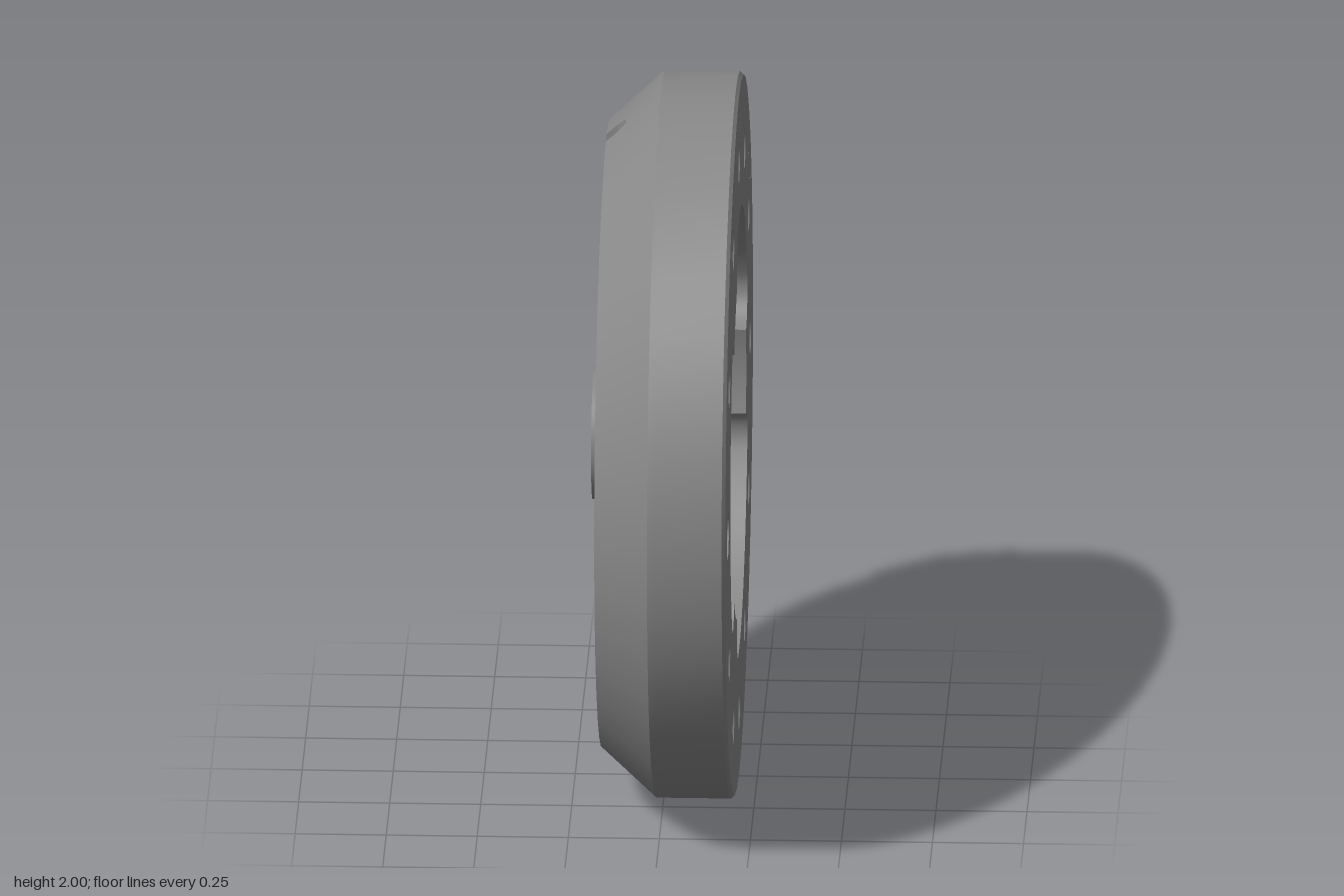
import * as THREE from 'three';
import { toCreasedNormals } from 'three/addons/utils/BufferGeometryUtils.js';

const DEG = Math.PI / 180;
const FRONT = 0.2, FLOOR = -0.006, BACK = -0.165, FACE_R = 0.865, PLATE_R = 0.89;
const SCOOP = { angle: 33.8 * DEG, centre: 1.063, radius: 0.153, floor: 0.01 };
const NOTCH = { angle: 90 * DEG, z: -0.14, radius: 0.03, floor: 0.84 };

const coneZ = (r) => BACK + (r - FACE_R) / 0.9;
const coneR = (z) => FACE_R + (z - BACK) * 0.9;

// Cross-section [radius, z] of the body at one angle, cut by the scoop and the small notch
function section(a) {
  let rIn = 1, rFloor = FACE_R, zEdge = BACK;
  const s = Math.sin(a - SCOOP.angle) * SCOOP.centre;
  if (Math.abs(a - SCOOP.angle) < 0.2 && Math.abs(s) < SCOOP.radius) {
    const hit = SCOOP.centre * Math.cos(a - SCOOP.angle) - Math.sqrt(SCOOP.radius ** 2 - s * s);
    rIn = Math.min(1, hit);
  }
  const off = (a - NOTCH.angle) * FACE_R;
  if (Math.abs(off) < NOTCH.radius) {
    rFloor = NOTCH.floor;
    zEdge = NOTCH.z + Math.sqrt(NOTCH.radius ** 2 - off * off);
  }
  return [
    [0.762, -0.15], [0.762, BACK], [rFloor, BACK], [rFloor, zEdge], [coneR(zEdge), zEdge],
    [rIn, coneZ(rIn)], [rIn, SCOOP.floor], [1, SCOOP.floor], [1, 0.19], [0.99, FRONT], [PLATE_R, FRONT],
  ];
}

// Revolved body, with extra angles where the cuts are
function bodyGeometry() {
  const angles = [];
  for (let i = 0; i < 40; i++) angles.push(i * 9 * DEG);
  for (let i = -16; i <= 16; i++) angles.push(SCOOP.angle + (i / 16) * 7.75 * DEG);
  const half = NOTCH.radius / FACE_R;
  for (let i = -8; i <= 8; i++) angles.push(NOTCH.angle + half * Math.sin((i / 8) * Math.PI / 2) * 0.999);
  angles.push(NOTCH.angle - half * 1.001, NOTCH.angle + half * 1.001);
  angles.sort((p, q) => p - q);
  const list = angles.filter((a, i) => i === 0 || a - angles[i - 1] > 1e-6);
  const pos = [], index = [];
  let n = 0;
  for (const a of list) {
    const pts = section(a);
    n = pts.length;
    for (const [r, z] of pts) pos.push(r * Math.cos(a), r * Math.sin(a), z);
  }
  for (let i = 0; i < list.length; i++) {
    const k = (i + 1) % list.length;
    for (let j = 0; j < n - 1; j++) {
      const a = i * n + j, b = k * n + j;
      index.push(a, b, a + 1, b, b + 1, a + 1);
    }
  }
  const g = new THREE.BufferGeometry();
  g.setAttribute('position', new THREE.Float32BufferAttribute(pos, 3));
  g.setIndex(index);
  return toCreasedNormals(g, 0.45);
}

// Three-lobed pocket outline: lug arc, round corner, wide arc, round corner
function pocketPath() {
  const pts = [];
  const arc = (cx, cy, r, from, to, steps, turn) => {
    for (let i = 0; i <= steps; i++) {
      const t = (from + ((to - from) * i) / steps) * DEG;
      pts.push(new THREE.Vector2(cx + r * Math.cos(t), cy + r * Math.sin(t))
        .rotateAround(new THREE.Vector2(), turn * DEG));
    }
  };
  for (let k = 0; k < 3; k++) {
    const turn = k * 120;
    arc(0, 0, 0.507, -14, 14, 8, turn);
    arc(0.497, 0.213, 0.09, -90, 23.2, 12, turn);
    arc(0, 0, 0.631, 24.5, 95.5, 18, turn);
    arc(0.497, -0.213, 0.09, -23.2, 90, 12, turn + 120);
  }
  return new THREE.Path(pts);
}

export function createModel() {
  const material = new THREE.MeshStandardMaterial({ color: 0x888888 });
  const model = new THREE.Group();
  const disc = new THREE.Group();
  disc.name = 'mountDisc';
  const add = (name, geometry) => {
    const mesh = new THREE.Mesh(geometry, material);
    mesh.name = name;
    disc.add(mesh);
    return mesh;
  };
  const lathe = (points, sides) => toCreasedNormals(
    new THREE.LatheGeometry(points.map((p) => new THREE.Vector2(...p)), sides), 0.45);

  add('body', bodyGeometry());

  // Front plate with the pocket and the ring of holes
  const plate = new THREE.Shape();
  for (let i = 0; i < 40; i++) {
    const a = i * 9 * DEG;
    plate[i ? 'lineTo' : 'moveTo'](PLATE_R * Math.cos(a), PLATE_R * Math.sin(a));
  }
  plate.closePath();
  plate.holes.push(pocketPath());
  for (let i = 0; i < 12; i++) {
    const a = i * 30 * DEG, big = i === 6;
    const x = 0.8 * Math.cos(a), y = 0.8 * Math.sin(a), r = big ? 0.065 : 0.06;
    const rim = [];
    for (let k = 0; k < 24; k++) {
      const t = k * 15 * DEG;
      rim.push(new THREE.Vector2(x + r * Math.cos(t), y + r * Math.sin(t)));
    }
    plate.holes.push(new THREE.Path(rim));
    // Bolt hole with a countersunk mouth and a conical bottom
    const inner = big ? 0.063 : 0.05;
    const cup = add('boltHole', lathe(
      [[r, FRONT], [inner, FRONT - 0.015], [inner, 0.06], [0, 0.025]], 24));
    cup.rotation.x = Math.PI / 2;
    cup.position.set(x, y, 0);
  }
  const plateGeometry = new THREE.ExtrudeGeometry(plate, { depth: FRONT - FLOOR, bevelEnabled: false });
  add('frontPlate', toCreasedNormals(plateGeometry, 0.45)).position.z = FLOOR;
  add('pocketFloor', new THREE.CircleGeometry(0.7, 40)).position.z = FLOOR;

  // Low step at the foot of each lug
  for (let k = 0; k < 3; k++) {
    const step = new THREE.Shape();
    step.absarc(0, 0, 0.52, -13 * DEG, 13 * DEG, false);
    step.absarc(0, 0, 0.499, 13 * DEG, -13 * DEG, true);
    const mesh = add('lugStep', toCreasedNormals(
      new THREE.ExtrudeGeometry(step, { depth: 0.1, bevelEnabled: false, curveSegments: 8 }), 0.45));
    mesh.position.z = FLOOR;
    mesh.rotation.z = k * 120 * DEG;
  }

  // Recessed back panel and its central boss
  const panel = add('backPanel', new THREE.CircleGeometry(0.775, 40));
  panel.rotation.y = Math.PI;
  panel.position.z = -0.15;
  const boss = add('centreBoss', new THREE.CylinderGeometry(0.183, 0.183, 0.07, 40));
  boss.rotation.x = Math.PI / 2;
  boss.position.z = -0.165;

  // Release button set square on the sloping back
  const a = 14.5 * DEG;
  const button = add('releaseButton', lathe(
    [[0.105, -0.03], [0.105, 0.015], [0.087, 0.015], [0.087, 0.008], [0, 0.008]], 32));
  button.position.set(0.928 * Math.cos(a), 0.928 * Math.sin(a), coneZ(0.928));
  button.quaternion.setFromUnitVectors(new THREE.Vector3(0, 1, 0),
    new THREE.Vector3(0.743 * Math.cos(a), 0.743 * Math.sin(a), -0.669).normalize());

  // Turn the disc axis along x and stand it on the ground
  disc.rotation.y = Math.PI / 2;
  disc.position.y = 1;
  model.add(disc);
  return model;
}
